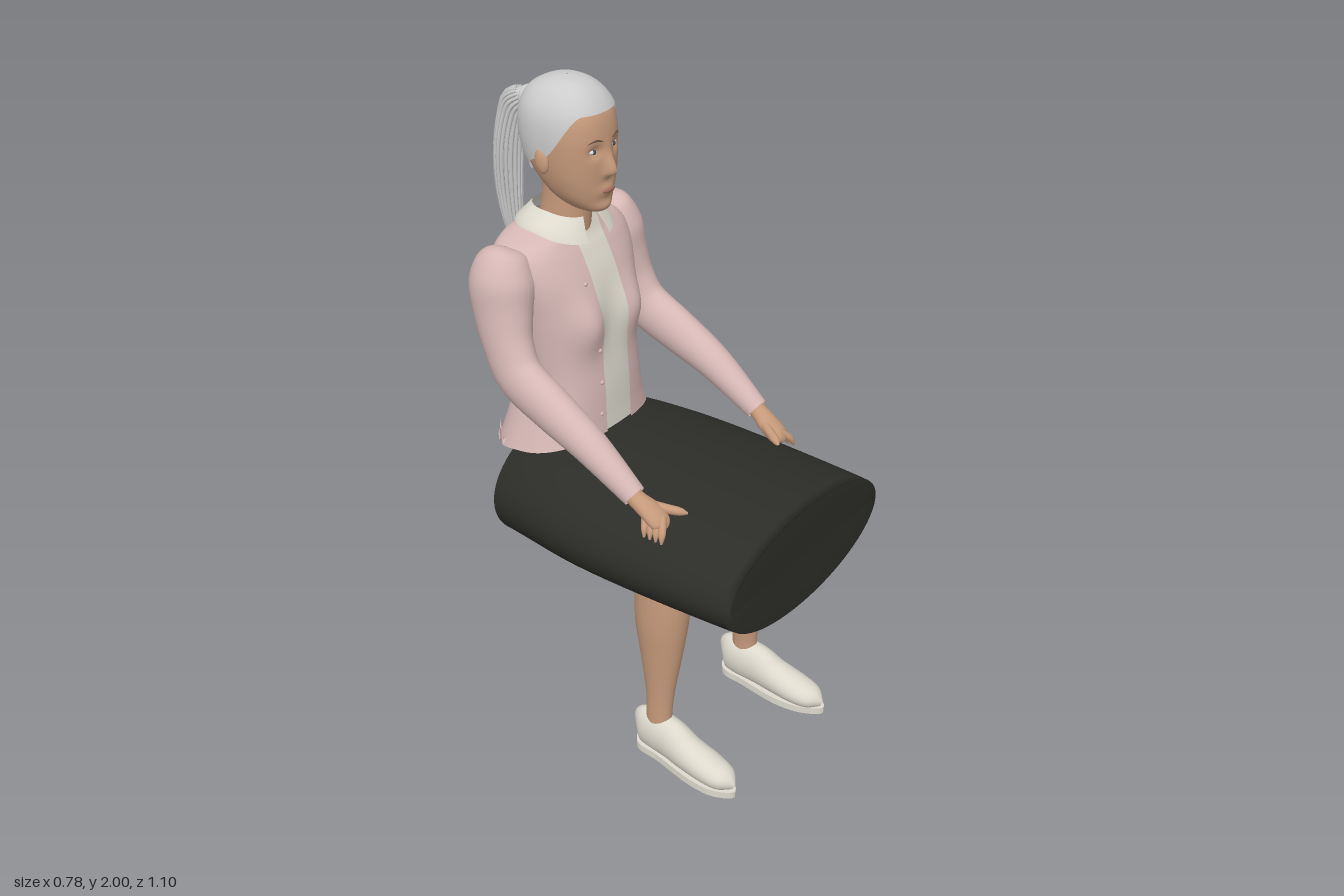
import * as THREE from 'three';

const mat = (color, side = THREE.FrontSide) => new THREE.MeshStandardMaterial({ color, side });
const TWO = THREE.DoubleSide, PI2 = Math.PI * 2;
const skin = mat(0xc69a7b), pink = mat(0xd6b8b5, TWO), cream = mat(0xdcd8cc, TWO),
  dark = mat(0x2c2d28, TWO), hairMat = mat(0xcccccc, TWO), lipMat = mat(0xa56f60),
  eyeMat = mat(0xdde0e2), irisMat = mat(0x4a4f55), browMat = mat(0x6b5546);

const bump = (d, w) => Math.exp(-(d * d) / (w * w));

// Smooth interpolation through rows of numbers, t = 0 .. rows.length - 1
function sample(rows, t) {
  const n = rows.length - 1, i = Math.min(Math.floor(t), n - 1), f = t - i;
  const [a, b, c, d] = [-1, 0, 1, 2].map(k => rows[THREE.MathUtils.clamp(i + k, 0, n)]);
  return b.map((_, k) => b[k] + 0.5 * f * (c[k] - a[k] + f * (2 * a[k] - 5 * b[k] + 4 * c[k] - d[k]
    + f * (3 * (b[k] - c[k]) + d[k] - a[k]))));
}

// Surface from fn(u, v), optionally closed around u
function grid(nu, nv, closed, fn) {
  const pos = [], idx = [], w = closed ? nu : nu + 1;
  for (let j = 0; j <= nv; j++) for (let i = 0; i < w; i++) pos.push(...fn(i / nu, j / nv, i, j));
  for (let j = 0; j < nv; j++) for (let i = 0; i < nu; i++) {
    const p = j * w + i, q = j * w + (i + 1) % w;
    idx.push(p, q, q + w, p, q + w, p + w);
  }
  const g = new THREE.BufferGeometry();
  g.setAttribute('position', new THREE.Float32BufferAttribute(pos, 3));
  g.setIndex(idx);
  g.computeVertexNormals();
  return g;
}

// Point on a horizontal section [y, halfWidth, frontZ, backZ]; angle 0 is the front
function ringPoint([y, rx, zf, zb], a, k = 1) {
  const s = Math.sin(a), c = Math.cos(a), pw = v => Math.sign(v) * Math.abs(v) ** k;
  return [rx * pw(s), y, (zf + zb) / 2 + (zf - zb) / 2 * pw(c)];
}

// Tube along rows [x, y, z, radiusAcross, radiusOther]
function tube(rows, seg = 20, steps = 5, shape = p => p) {
  const n = rows.length - 1, frames = [];
  for (let j = 0; j <= n * steps; j++) {
    const t = j / steps, r = sample(rows, t);
    const a = sample(rows, Math.max(0, t - 0.05)), b = sample(rows, Math.min(n, t + 0.05));
    const T = new THREE.Vector3(b[0] - a[0], b[1] - a[1], b[2] - a[2]).normalize();
    const S = new THREE.Vector3(1, 0, 0).addScaledVector(T, -T.x).normalize();
    frames.push([r, S, T.clone().cross(S)]);
  }
  return grid(seg, n * steps, true, (u, v, i, j) => {
    const [r, S, N] = frames[j];
    return shape(new THREE.Vector3(r[0], r[1], r[2])
      .addScaledVector(S, r[3] * Math.cos(u * PI2)).addScaledVector(N, r[4] * Math.sin(u * PI2)).toArray());
  });
}

const HEAD = [[1.622, .012, -.18, -.22], [1.635, .045, -.156, -.27], [1.67, .078, -.15, -.32], [1.72, .1, -.145, -.365],
  [1.78, .113, -.142, -.4], [1.85, .118, -.142, -.415], [1.91, .111, -.155, -.41], [1.955, .085, -.187, -.385],
  [1.982, .047, -.23, -.335], [1.99, .003, -.278, -.284]];
const TORSO = [[.9, .245, -.11, -.47], [1, .215, -.112, -.435], [1.1, .19, -.115, -.402], [1.2, .195, -.125, -.42],
  [1.33, .215, -.14, -.455], [1.43, .235, -.16, -.465], [1.5, .235, -.19, -.455], [1.54, .205, -.212, -.44],
  [1.57, .13, -.222, -.42], [1.6, .085, -.232, -.39]];

function torsoPoint(t, a, inset = 0) {
  const [y, rx, zf, zb] = sample(TORSO, t);
  const p = ringPoint([y, rx - inset, zf - inset, zb + inset], a, .8);
  const x = Math.abs(p[0]);
  if (Math.cos(a) > 0) p[2] += .035 * bump(x - .1, .06) * bump(y - 1.31, .08);
  else p[2] += .03 * bump(x, .055) * THREE.MathUtils.smoothstep(y, 1.1, 1.35);
  p[1] += Math.max(0, 1 - t) * (.0125 + .0425 * Math.cos(a));
  return p;
}

function facePoint(t, a) {
  const p = ringPoint(sample(HEAD, t), a, .87), x = Math.abs(p[0]), y = p[1];
  if (Math.cos(a) > 0) {
    p[2] += .032 * bump(x, .016) * (y < 1.752 ? bump(y - 1.752, .014) : bump(y - 1.752, .045));
    p[2] += .01 * bump(x, .03) * bump(y - 1.695, .018) + .008 * bump(x, .03) * bump(y - 1.645, .018);
    p[2] -= .013 * bump(x - .043, .02) * bump(y - 1.815, .016);
  }
  return p;
}

export function createModel() {
  const model = new THREE.Group();
  const add = (name, geo, material, parent = model) => {
    const m = new THREE.Mesh(geo, material);
    m.name = name;
    parent.add(m);
    return m;
  };
  const ball = (name, m, [x, y, z], [sx, sy, sz], parent) => {
    const o = add(name, new THREE.SphereGeometry(1, 20, 14), m, parent);
    o.position.set(x, y, z);
    o.scale.set(sx, sy, sz);
    return o;
  };

  // Skirt: wide oval tube, closed at the front and open at the back
  add('skirt', tube([[0, .745, -.33, .325, .185], [0, .76, -.2, .355, .192], [0, .762, 0, .384, .187],
    [0, .762, .25, .39, .177], [0, .762, .53, .381, .165], [0, .762, .545, .374, .16]], 72, 4), dark);
  const front = add('skirtFront', new THREE.CircleGeometry(1, 72), dark);
  front.scale.set(.374, .16, 1);
  front.position.set(0, .762, .545);
  const waist = add('skirtWaist', new THREE.CylinderGeometry(1, 1, .08, 40), dark);
  waist.scale.set(.19, 1, .14);
  waist.position.set(0, .96, -.28);

  // Shirt and open jacket with a ragged back hem
  add('shirt', grid(72, 50, true, (u, v) => torsoPoint(.15 + v * 8.85, u * PI2, .006)), cream);
  add('jacket', grid(96, 54, false, (u, v, i, j) => {
    const rx = sample(TORSO, v * 9)[1];
    const a0 = Math.asin((.056 / rx) ** 1.25), a = a0 + u * (PI2 - 2 * a0);
    const p = torsoPoint(v * 9, a);
    if (j === 0 && Math.cos(a) < -.4) p[1] += [.0, .025, .045, .02][i % 4] * (1 + .4 * Math.sin(i * 2.3));
    return p;
  }), pink);
  for (const t of [1.2, 2.2, 3.2, 5]) {
    const [x, y, z] = torsoPoint(t, -.28);
    ball('button', pink, [x, y, z], [.007, .007, .005]);
  }
  // Folded collar with two front points
  add('collar', grid(60, 6, false, (u, v) => {
    const a = .3 + u * (PI2 - .6), f = Math.max(0, Math.cos(a));
    const p = ringPoint([1.572 - .035 * f + v * (.045 + .022 * f), .14 - .058 * v ** 1.5, -.172 - .036 * v, -.435 + .04 * v], a, .9);
    return p;
  }), cream);

  // Neck and head
  add('neck', tube([[0, 1.74, -.285, .062, .08], [0, 1.65, -.29, .061, .078], [0, 1.57, -.3, .066, .08],
    [0, 1.5, -.31, .075, .085]], 32), skin);
  add('head', grid(112, 72, true, (u, v) => facePoint(v * 9, u * PI2)), skin);
  ball('lips', lipMat, [0, 1.696, -.142], [.026, .009, .01]);

  // Hair cap above the hairline, ponytail with loose strands
  add('hairCap', grid(80, 30, true, (u, v) => {
    const a = u * PI2, d = Math.min(a, PI2 - a);
    const line = 6.1 - 2 * THREE.MathUtils.smoothstep(d, .6, 1.75) - .9 * THREE.MathUtils.smoothstep(d, 1.7, 2.6);
    const [x, y, z] = ringPoint(sample(HEAD, line + (9 - line) * v), a, .87);
    return [x * 1.05, 1.83 + (y - 1.83) * 1.06, -.28 + (z + .28) * 1.05];
  }), hairMat);
  const tail = [[0, 1.895, -.39, .022, .022], [0, 1.905, -.435, .024, .024], [0, 1.865, -.48, .034, .03],
    [0, 1.75, -.502, .046, .032], [0, 1.62, -.508, .04, .031], [0, 1.5, -.497, .026, .02], [0, 1.42, -.487, .004, .004]];
  add('ponytail', tube(tail, 24, 6), hairMat);
  const tie = add('hairTie', new THREE.TorusGeometry(.026, .008, 10, 24), hairMat);
  tie.position.set(0, 1.903, -.428);
  for (let i = 0; i < 18; i++) {
    const a = i / 18 * PI2, c = Math.cos(a), s = Math.sin(a);
    add('hairStrand', tube(tail.slice(1).map(([x, y, z, r, q], k) => [c * r * 1.03, y + s * q * (k < 2 ? .8 : .2)
      - (k === 5 ? .02 * Math.sin(i * 5) : 0), z - s * q, k === 5 ? .001 : .006, k === 5 ? .001 : .006]), 6, 4), hairMat);
  }

  for (const s of [1, -1]) {
    const side = new THREE.Group();
    side.name = s > 0 ? 'leftSide' : 'rightSide';
    model.add(side);
    const limb = (name, rows, m, seg, steps, shape) =>
      add(name, tube(rows.map(([x, ...r]) => [x * s, ...r]), seg, steps, shape), m, side);

    // Face details
    ball('ear', skin, [.118 * s, 1.783, -.28], [.013, .036, .023], side).rotation.x = -.2;
    ball('eye', eyeMat, [.043 * s, 1.815, -.17], [.019, .009, .017], side);
    ball('iris', irisMat, [.043 * s, 1.815, -.158], [.007, .0075, .007], side);
    limb('eyebrow', [[.02, 1.842, -.142, .001, .001], [.043, 1.85, -.146, .003, .003], [.068, 1.842, -.161, .001, .001]], browMat, 6);

    // Sleeve and hand
    limb('sleeve', [[.225, 1.552, -.33, .005, .005], [.23, 1.535, -.33, .06, .065], [.245, 1.46, -.33, .087, .098],
      [.263, 1.37, -.315, .075, .092], [.28, 1.28, -.285, .062, .08], [.29, 1.2, -.235, .057, .078],
      [.296, 1.14, -.12, .056, .07], [.3, 1.07, .02, .051, .054], [.3, .965, .175, .034, .036]], pink, 28);
    limb('hand', [[.3, 1, .12, .025, .025], [.3, .96, .18, .027, .025], [.293, .932, .225, .036, .025],
      [.293, .905, .262, .034, .021], [.295, .893, .278, .008, .008]], skin);
    limb('thumb', [[.285, .945, .2, .013, .014], [.258, .932, .25, .014, .014], [.238, .925, .285, .012, .012],
      [.226, .92, .304, .003, .003]], skin, 12);
    for (let i = 0; i < 4; i++) {
      const z = .278 - i * .02;
      limb('finger', [[.29, .922, z - .015, .012, .012], [.309, .905, z, .011, .011], [.322, .888, z + .008, .01, .01],
        [.33, .866, z + .012, .003, .003]], skin, 10);
    }

    // Thigh inside the skirt, lower leg
    limb('thigh', [[.12, .77, -.27, .02, .02], [.125, .77, -.24, .09, .09], [.17, .76, 0, .09, .09],
      [.2, .75, .22, .08, .08], [.2, .75, .29, .02, .02]], skin);
    limb('lowerLeg', [[.2, .8, .2, .075, .08], [.204, .62, .203, .075, .087], [.209, .5, .203, .07, .083],
      [.215, .38, .206, .054, .066], [.222, .25, .208, .038, .046], [.226, .16, .207, .033, .042],
      [.226, .08, .21, .035, .045]], skin, 28);

    // Shoe with a tilted sole
    const tilt = z => .03 * (.5 - z) / .37;
    limb('shoe', [[.225, .09, .133, .008, .03], [.225, .095, .15, .036, .066], [.225, .095, .2, .047, .072],
      [.228, .09, .26, .049, .07], [.232, .072, .32, .052, .056], [.235, .056, .4, .054, .045],
      [.238, .045, .46, .042, .034], [.24, .035, .494, .006, .01]], cream, 28, 5,
      ([x, y, z]) => [x, Math.max(y, .016 + tilt(z)), z]);
    const outline = [[.185, .155], [.225, .13], [.265, .155], [.272, .23], [.292, .37], [.283, .45], [.243, .5],
      [.2, .455], [.175, .37], [.18, .23]].map(([x, z]) => new THREE.Vector3(x * s, z, 0));
    const curve = new THREE.CatmullRomCurve3(outline, true).getPoints(48).slice(0, -1);
    const sole = new THREE.ExtrudeGeometry(new THREE.Shape(curve.map(p => new THREE.Vector2(p.x, p.y))),
      { depth: .022, bevelEnabled: false }).rotateX(Math.PI / 2);
    const P = sole.attributes.position;
    for (let i = 0; i < P.count; i++) P.setY(i, P.getY(i) + .022 + tilt(P.getZ(i)));
    sole.computeVertexNormals();
    add('sole', sole, cream, side);
  }
  return model;
}
